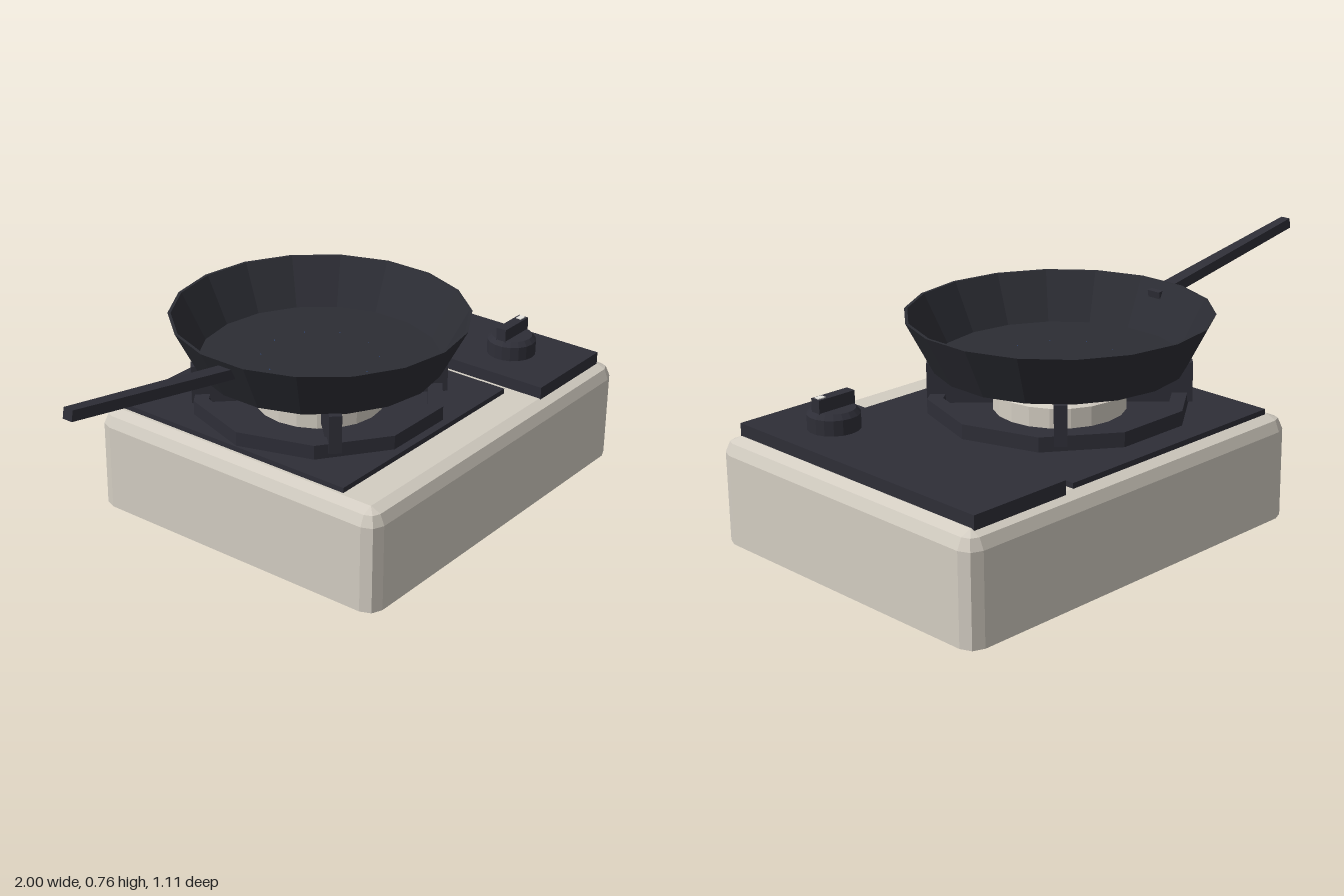
import * as THREE from 'three';

const mat = (name, color) => {
  const m = new THREE.MeshStandardMaterial({ color });
  m.name = name;
  return m;
};

// Unshared corners give every facet its own normal
function flat(geo) {
  const g = geo.index ? geo.toNonIndexed() : geo;
  g.computeVertexNormals();
  return g;
}

// Box given by its minimum and maximum corners
function boxBetween(x0, x1, y0, y1, z0, z1) {
  return new THREE.BoxGeometry(x1 - x0, y1 - y0, z1 - z0)
    .translate((x0 + x1) / 2, (y0 + y1) / 2, (z0 + z1) / 2);
}

function lathe(points, sides, start = 0) {
  return new THREE.LatheGeometry(points.map(p => new THREE.Vector2(...p)), sides, start);
}

// Rounded casing: stacked rounded-rectangle loops of [height, inset]
function casingGeometry(halfX, halfZ, radius, levels) {
  const pos = [], idx = [], n = 12;
  for (const [y, inset] of levels) {
    const r = Math.max(radius - inset, 0.001);
    for (let c = 0; c < 4; c++) {
      const sx = c === 0 || c === 3 ? 1 : -1, sz = c < 2 ? -1 : 1;
      for (let k = 0; k < 3; k++) {
        const a = (c + k / 2) * Math.PI / 2;
        pos.push(sx * (halfX - inset - r) + r * Math.cos(a), y,
          sz * (halfZ - inset - r) - r * Math.sin(a));
      }
    }
  }
  for (let l = 0; l < levels.length - 1; l++) {
    for (let i = 0; i < n; i++) {
      const a = l * n + i, b = l * n + (i + 1) % n;
      idx.push(a, b, b + n, a, b + n, a + n);
    }
  }
  const top = (levels.length - 1) * n;
  for (let i = 1; i < n - 1; i++) {
    idx.push(0, i + 1, i, top, top + i, top + i + 1);
  }
  const g = new THREE.BufferGeometry();
  g.setAttribute('position', new THREE.Float32BufferAttribute(pos, 3));
  g.setIndex(idx);
  return g;
}

export function createModel() {
  const model = new THREE.Group();
  model.name = 'campStoveWithPan';
  const cream = mat('cream enamel', 0xd3cdc2);
  const dark = mat('dark metal', 0x2e2e37);
  const iron = mat('pan iron', 0x2c2d34);
  const blue = mat('flame blue', 0x3c62ae);
  const white = mat('marker white', 0xe6e4de);

  const add = (parent, name, geo, material) => {
    const mesh = new THREE.Mesh(flat(geo), material);
    mesh.name = name;
    parent.add(mesh);
    return mesh;
  };

  // Casing with softened top edges and corners
  add(model, 'casing', casingGeometry(0.68, 0.557, 0.05,
    [[0, 0], [0.29, 0], [0.325, 0.015], [0.34, 0.05]]).translate(0.32, 0, 0), cream);

  // Top plates
  add(model, 'burnerPlate', boxBetween(-0.3, 0.557, 0.335, 0.357, -0.508, 0.397), dark);
  add(model, 'controlPanel', boxBetween(0.597, 0.947, 0.335, 0.38, -0.518, 0.512), dark);

  // Everything concentric with the burner
  const hob = new THREE.Group();
  hob.name = 'hob';
  hob.position.set(0.12, 0, -0.025);
  model.add(hob);

  add(hob, 'burnerHead', lathe(
    [[0, 0.35], [0.21, 0.35], [0.21, 0.42], [0.19, 0.43], [0, 0.43]], 20), cream);

  // Ten-sided grate ring
  add(hob, 'grateRing', lathe(
    [[0.365, 0.357], [0.415, 0.357], [0.415, 0.404], [0.365, 0.404], [0.365, 0.357]],
    10, Math.PI / 2), dark);

  // Radial pan supports
  for (let i = 0; i < 4; i++) {
    const support = add(hob, 'panSupport', boxBetween(0.19, 0.413, 0.375, 0.502, -0.02, 0.02), dark);
    support.rotation.y = Math.PI / 4 + i * Math.PI / 2;
  }

  // Flames leaning outward, tips just through the pan floor
  for (let i = 0; i < 10; i++) {
    const g = new THREE.ConeGeometry(0.027, 0.085, 5).translate(0, 0.0425, 0);
    const p = g.attributes.position;
    for (let v = 0; v < p.count; v++) p.setX(v, p.getX(v) + 0.16 + p.getY(v) * 0.35);
    const flame = add(hob, 'flame', g.translate(0, 0.43, 0), blue);
    flame.rotation.y = Math.PI / 10 + i * Math.PI / 5;
  }

  // Pan bowl
  add(hob, 'pan', lathe([[0, 0.5], [0.397, 0.5], [0.482, 0.665], [0.472, 0.665],
    [0.392, 0.511], [0, 0.511]], 18), iron);

  // Tapered handle
  const handleGeo = new THREE.BoxGeometry(0.69, 0.034, 1);
  const hp = handleGeo.attributes.position;
  for (let v = 0; v < hp.count; v++) {
    hp.setZ(v, hp.getZ(v) * (hp.getX(v) < 0 ? 0.035 : 0.05));
  }
  const handle = add(model, 'panHandle', handleGeo, dark);
  handle.position.set(-0.657, 0.681, -0.023);
  handle.rotation.z = -Math.atan(0.18);

  // Control knob with grip and pointer mark
  const knob = new THREE.Group();
  knob.name = 'knob';
  knob.position.set(0.773, 0, 0.28);
  model.add(knob);
  add(knob, 'knobBase', lathe(
    [[0, 0.375], [0.082, 0.375], [0.082, 0.428], [0.068, 0.444], [0, 0.444]], 18), dark);
  add(knob, 'knobGrip', boxBetween(-0.068, 0.068, 0.44, 0.485, -0.018, 0.018), dark);
  add(knob, 'knobMark', boxBetween(0.036, 0.062, 0.484, 0.488, -0.01, 0.01), white);

  return model;
}
